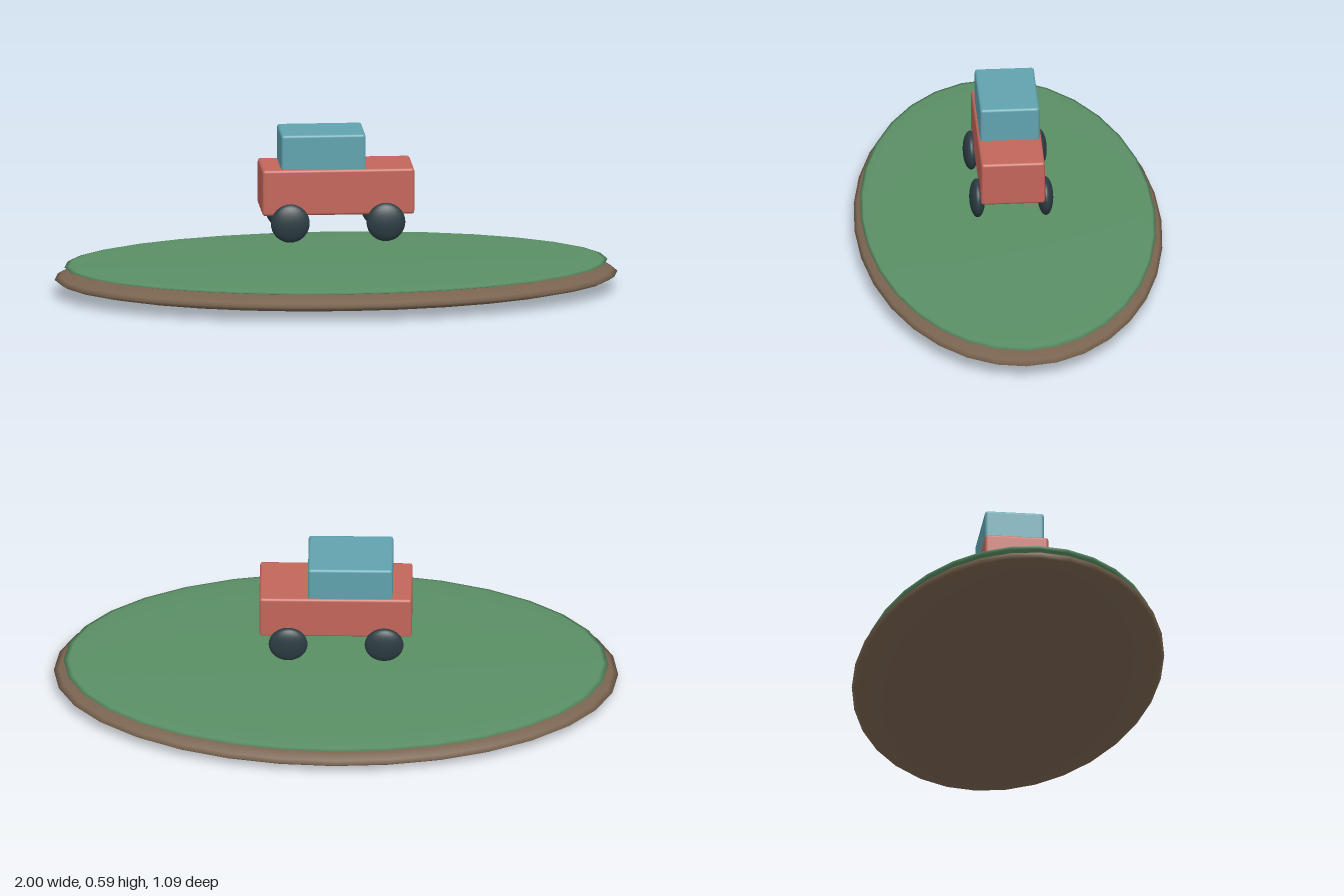
import * as THREE from 'three';
import { RoundedBoxGeometry } from 'three/addons/geometries/RoundedBoxGeometry.js';

const paint = (name, color) => {
  const material = new THREE.MeshStandardMaterial({ color });
  material.name = name;
  return material;
};

export function createModel() {
  const earth = paint('earth brown', 0x7a6450);
  const grass = paint('grass green', 0x5a8f65);
  const red = paint('body red', 0xc2665a);
  const blue = paint('cabin blue', 0x60a2ae);
  const rubber = paint('tyre dark', 0x2c3c42);

  const add = (parent, name, geometry, material, x, y, z) => {
    const mesh = new THREE.Mesh(geometry, material);
    mesh.name = name;
    mesh.position.set(x, y, z);
    parent.add(mesh);
  };
  // Squashed sphere given by its three radii
  const ellipsoid = (rx, ry, rz) => new THREE.SphereGeometry(1, 32, 16).scale(rx, ry, rz);

  const model = new THREE.Group();
  model.name = 'carOnIsland';

  // Island: an earth lens with a thin grass lens on top
  add(model, 'islandBase', ellipsoid(1, 0.058, 0.545), earth, 0, 0.058, 0);
  add(model, 'grassTop', ellipsoid(0.965, 0.019, 0.522), grass, 0, 0.102, 0);

  // Car hovering above the grass
  const car = new THREE.Group();
  car.name = 'car';
  model.add(car);
  add(car, 'body', new RoundedBoxGeometry(0.54, 0.165, 0.226, 3, 0.01), red, 0, 0.382, 0);
  add(car, 'cabin', new RoundedBoxGeometry(0.3, 0.15, 0.21, 3, 0.01), blue, -0.052, 0.514, 0);

  // Four rounded wheels
  for (const [end, x] of [['rear', -0.172], ['front', 0.168]]) {
    for (const [side, z] of [['Near', 0.121], ['Far', -0.121]]) {
      add(car, `${end}${side}Wheel`, ellipsoid(0.069, 0.069, 0.028), rubber, x, 0.274, z);
    }
  }
  return model;
}
